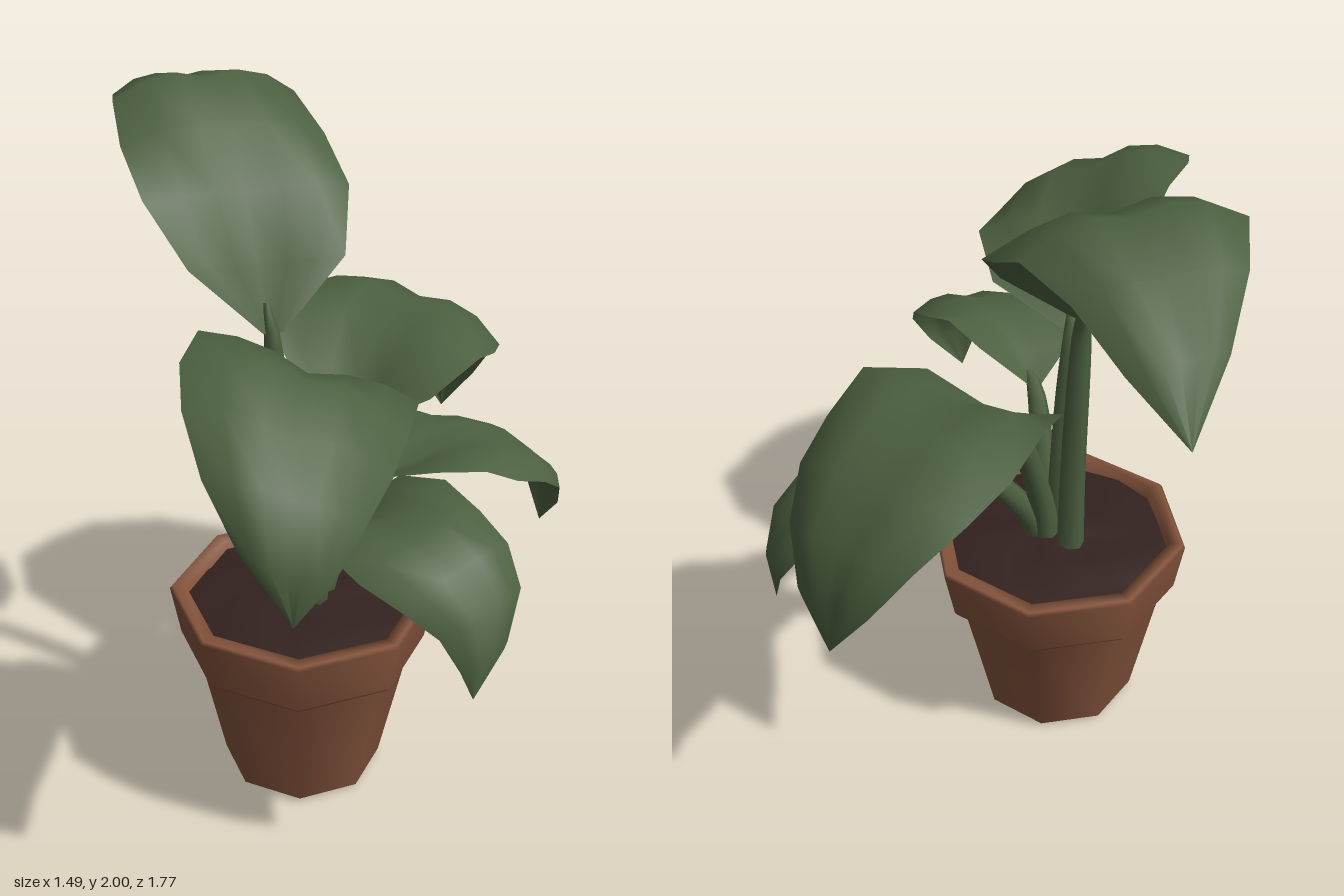
import * as THREE from 'three';

const potMat = new THREE.MeshStandardMaterial({ color: 0x85543c });
const soilMat = new THREE.MeshStandardMaterial({ color: 0x33221f });
const leafMat = new THREE.MeshStandardMaterial({ color: 0x4c6040, side: THREE.DoubleSide });
potMat.name = 'terracotta';
soilMat.name = 'soil';
leafMat.name = 'leafGreen';

const vec = (x, y, z) => new THREE.Vector3(x, y, z);

// Relative blade width at even steps from base to tip
const WIDTHS = [0.1, 0.76, 1, 1, 0.9, 0.68, 0.4, 0];
const LAST = WIDTHS.length - 1;
const COLUMNS = 6;

// Blade: cross-sections along the midrib, cupped at the base, then arched with a shallow groove
function bladeGeometry(midrib, halfWidth, roll) {
  const run = midrib.getPoint(1).sub(midrib.getPoint(0));
  const side = vec(-run.z, 0, run.x).normalize().multiplyScalar(Math.cos(roll));
  side.y = Math.sin(roll);
  const pos = [], idx = [];
  WIDTHS.forEach((width, i) => {
    const t = i / LAST, w = width * halfWidth;
    const up = side.clone().cross(midrib.getTangentAt(t)).normalize();
    const cup = Math.max(-0.2, 0.6 - 1.9 * t);
    for (let j = 0; j <= COLUMNS; j++) {
      const u = 2 * j / COLUMNS - 1;
      const height = cup * (u * u - 0.3) + 0.1 * Math.sin(Math.PI * Math.abs(u));
      const v = midrib.getPointAt(t).addScaledVector(side, u * w).addScaledVector(up, height * w);
      pos.push(v.x, v.y, v.z);
      if (i < LAST && j < COLUMNS) {
        const a = i * (COLUMNS + 1) + j, b = a + COLUMNS + 1;
        idx.push(a, a + 1, b, b, a + 1, b + 1);
      }
    }
  });
  const g = new THREE.BufferGeometry();
  g.setAttribute('position', new THREE.Float32BufferAttribute(pos, 3));
  g.setIndex(idx);
  g.computeVertexNormals();
  return g;
}

// Stem: a tube that bends outwards as it climbs and narrows under the blade
function stemGeometry(foot, midrib) {
  const top = midrib.getPoint(0);
  const points = [0, 0.33, 0.67, 1].map((t) => {
    const k = t ** 1.6;
    return vec(foot.x + (top.x - foot.x) * k, foot.y + (top.y - foot.y) * t, foot.z + (top.z - foot.z) * k);
  });
  points.push(midrib.getPointAt(0.07).sub(vec(0, 0.01, 0)));
  const curve = new THREE.CatmullRomCurve3(points);
  const rings = 12, sides = 7;
  const g = new THREE.TubeGeometry(curve, rings, 0.042, sides);
  const pos = g.attributes.position, v = vec(0, 0, 0);
  for (let i = 0; i < pos.count; i++) {
    const t = Math.floor(i / (sides + 1)) / rings;
    const c = curve.getPointAt(t);
    v.fromBufferAttribute(pos, i).sub(c).multiplyScalar(1 - 0.3 * t - 0.5 * t ** 10).add(c);
    pos.setXYZ(i, v.x, v.y, v.z);
  }
  return g;
}

// Smooth turned shape from [radius, height] pairs
const lathe = (profile, sides) =>
  new THREE.LatheGeometry(profile.map(([r, y]) => new THREE.Vector2(r, y)), sides, Math.PI / 8);

export function createModel() {
  const model = new THREE.Group();
  model.name = 'pottedPlant';
  const add = (geometry, material, name, parent = model) => {
    const mesh = new THREE.Mesh(geometry, material);
    mesh.name = name;
    parent.add(mesh);
    return mesh;
  };

  // Eight-sided pot with a heavy rim
  const pot = add(lathe([[0, 0], [0.22, 0], [0.235, 0.012], [0.325, 0.435], [0.35, 0.437], [0.36, 0.45],
    [0.388, 0.605], [0.38, 0.615], [0.342, 0.615], [0.33, 0.55]], 8), potMat, 'pot');
  pot.position.set(0.03, 0, 0.05);

  // Lumpy soil
  const soilGeo = lathe([[0.34, 0.585], [0.25, 0.597], [0.16, 0.606], [0.07, 0.61], [0, 0.61]], 16);
  const sp = soilGeo.attributes.position;
  for (let i = 0; i < sp.count; i++) {
    const lump = 0.012 * Math.sin(23 * sp.getX(i) + 1) * Math.cos(19 * sp.getZ(i));
    sp.setY(i, sp.getY(i) + lump);
  }
  soilGeo.computeVertexNormals();
  add(soilGeo, soilMat, 'soil').position.copy(pot.position);

  // Arching leaf: stem foot, half width, sideways tilt, midrib points from blade base to tip
  const addLeaf = (name, foot, halfWidth, roll, ...points) => {
    const leaf = new THREE.Group();
    leaf.name = name;
    model.add(leaf);
    const midrib = new THREE.CatmullRomCurve3(points);
    add(stemGeometry(foot, midrib), leafMat, 'stem', leaf);
    add(bladeGeometry(midrib, halfWidth, roll), leafMat, 'blade', leaf);
  };
  addLeaf('tallLeaf', vec(-0.03, 0.55, 0.03), 0.3, -0.08,
    vec(-0.07, 1.41, 0.03), vec(-0.19, 1.74, -0.08), vec(-0.4, 1.96, -0.28), vec(-0.57, 1.91, -0.41), vec(-0.75, 1.64, -0.57));
  addLeaf('frontLeaf', vec(0.03, 0.55, 0.06), 0.29, 0.35,
    vec(0.06, 1.26, 0.17), vec(0.18, 1.5, 0.35), vec(0.24, 1.54, 0.54), vec(0.34, 1.34, 0.84), vec(0.36, 1.1, 0.84));
  addLeaf('backLeaf', vec(0.05, 0.55, 0.03), 0.32, -0.13,
    vec(0.07, 1.07, -0.1), vec(0.09, 1.3, -0.36), vec(0.09, 1.22, -0.7), vec(0.1, 1.03, -0.85), vec(0.12, 0.79, -0.86));
  addLeaf('leftFrontLeaf', vec(0.07, 0.55, 0.07), 0.2, -0.18,
    vec(0.2, 0.99, 0.18), vec(0.39, 1.1, 0.31), vec(0.62, 1.03, 0.39), vec(0.71, 0.91, 0.42), vec(0.69, 0.72, 0.46));
  addLeaf('leftBackLeaf', vec(0.07, 0.55, 0.03), 0.21, 0,
    vec(0.17, 0.91, -0.16), vec(0.32, 0.97, -0.34), vec(0.49, 0.88, -0.54), vec(0.55, 0.76, -0.61), vec(0.54, 0.59, -0.63));
  return model;
}
